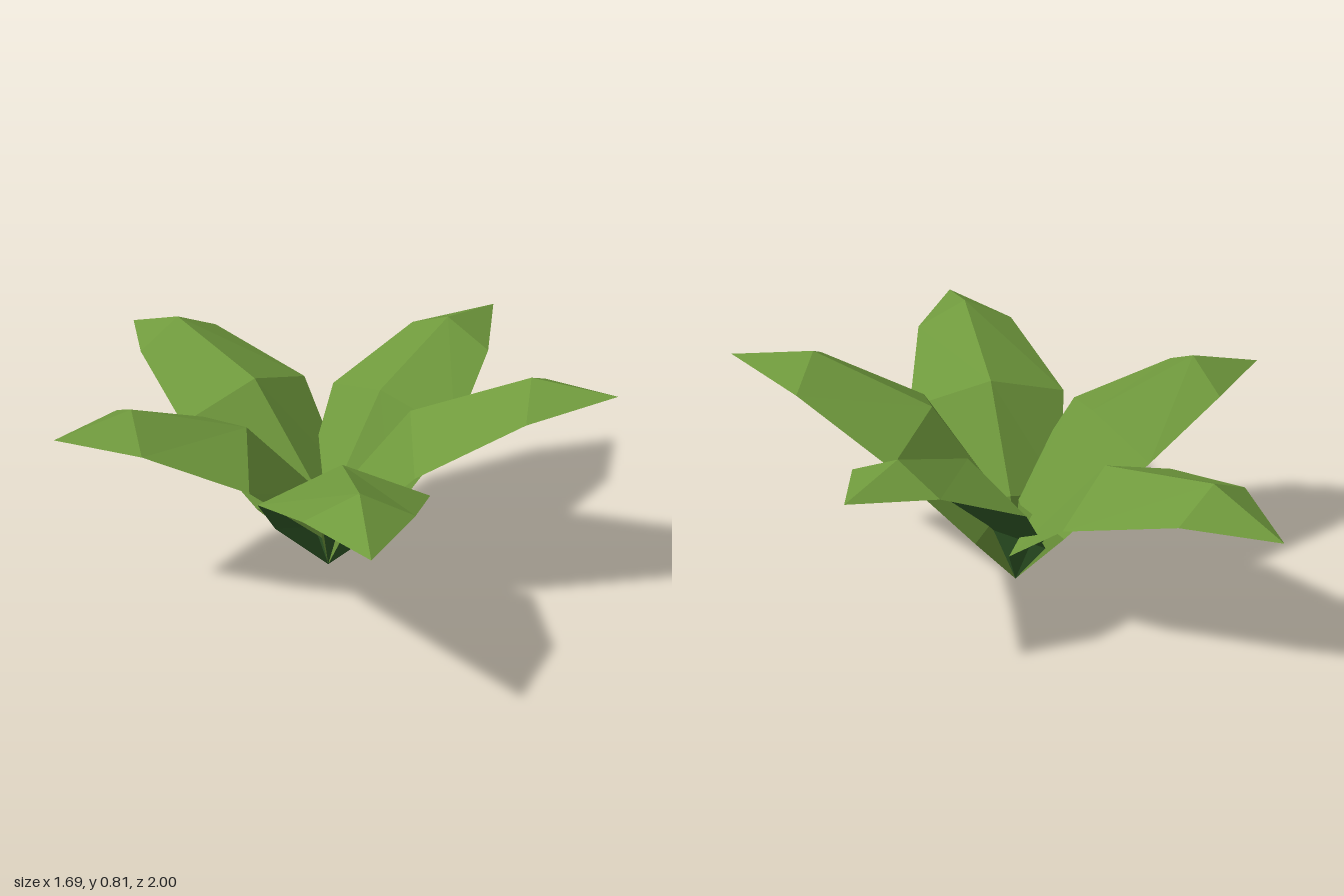
import * as THREE from 'three';

const CROWN_X = 0.077; // all leaves sprout from this point on the ground
const HALF_WIDTHS = [0.195, 0.275, 0.17]; // at the three cross-sections

// Each leaf: tip position, then [distance from the crown, height] of its
// raised midrib and of its two lower edges at the three cross-sections.
const LEAVES = [
  { name: 'rightLeaf', tip: [-0.845, 0.638, -0.025],
    rib: [[0.02, 0.283], [0.285, 0.582], [0.667, 0.708]],
    edge: [[0.088, 0.235], [0.357, 0.494], [0.677, 0.624]] },
  { name: 'backLeaf', tip: [-0.325, 0.548, -1.0],
    rib: [[0.08, 0.287], [0.384, 0.572], [0.81, 0.657]],
    edge: [[0.145, 0.23], [0.44, 0.469], [0.808, 0.574]] },
  { name: 'backLeftLeaf', tip: [0.848, 0.689, -0.415],
    rib: [[0.035, 0.283], [0.26, 0.577], [0.617, 0.728]],
    edge: [[0.105, 0.235], [0.329, 0.484], [0.631, 0.649]] },
  { name: 'frontLeftLeaf', tip: [0.848, 0.784, 0.547],
    rib: [[0.03, 0.29], [0.275, 0.637], [0.667, 0.813]],
    edge: [[0.103, 0.24], [0.358, 0.544], [0.686, 0.73]] },
  { name: 'frontLeaf', tip: [-0.155, 0.648, 1.0],
    rib: [[0.065, 0.287], [0.35, 0.587], [0.76, 0.717]],
    edge: [[0.134, 0.235], [0.41, 0.491], [0.763, 0.631]] },
];

// Flat facets between neighbouring rows of points, from leaf base to tip
function facetStrip(rows) {
  const positions = [];
  const triangle = (a, b, c) => {
    if (a !== b && b !== c && a !== c) positions.push(...a, ...b, ...c);
  };
  for (let i = 0; i < rows.length - 1; i++) {
    for (let j = 0; j < rows[i].length - 1; j++) {
      const a = rows[i][j], b = rows[i][j + 1];
      const c = rows[i + 1][j + 1], d = rows[i + 1][j];
      triangle(a, d, c);
      triangle(a, c, b);
    }
  }
  const geometry = new THREE.BufferGeometry();
  geometry.setAttribute('position', new THREE.Float32BufferAttribute(positions, 3));
  geometry.computeVertexNormals();
  return geometry;
}

// Solid leaf: a ridged top over a plain underside
function makeLeaf({ name, tip, rib, edge }, topMaterial, underMaterial) {
  const length = Math.hypot(tip[0] - CROWN_X, tip[2]);
  const dx = (tip[0] - CROWN_X) / length;
  const dz = tip[2] / length;
  const at = (r, y, w) => [CROWN_X + dx * r + dz * w, y, dz * r - dx * w];

  const base = at(0, 0, 0);
  const sections = HALF_WIDTHS.map((w, i) => [
    at(...edge[i], -w), at(...rib[i], 0), at(...edge[i], w),
  ]);
  const topRows = [[base, base, base], ...sections, [tip, tip, tip]];
  const underRows = topRows.map(([left, , right]) => [right, left]);

  const top = new THREE.Mesh(facetStrip(topRows), topMaterial);
  top.name = 'leafTop';
  const underside = new THREE.Mesh(facetStrip(underRows), underMaterial);
  underside.name = 'leafUnderside';
  const leaf = new THREE.Group();
  leaf.name = name;
  leaf.add(top, underside);
  return leaf;
}

export function createModel() {
  const topGreen = new THREE.MeshStandardMaterial({ color: 0x709a3d });
  topGreen.name = 'leafTopGreen';
  const underGreen = new THREE.MeshStandardMaterial({ color: 0x37652d });
  underGreen.name = 'leafUndersideGreen';

  const plant = new THREE.Group();
  plant.name = 'leafyPlant';
  for (const spec of LEAVES) plant.add(makeLeaf(spec, topGreen, underGreen));
  return plant;
}
